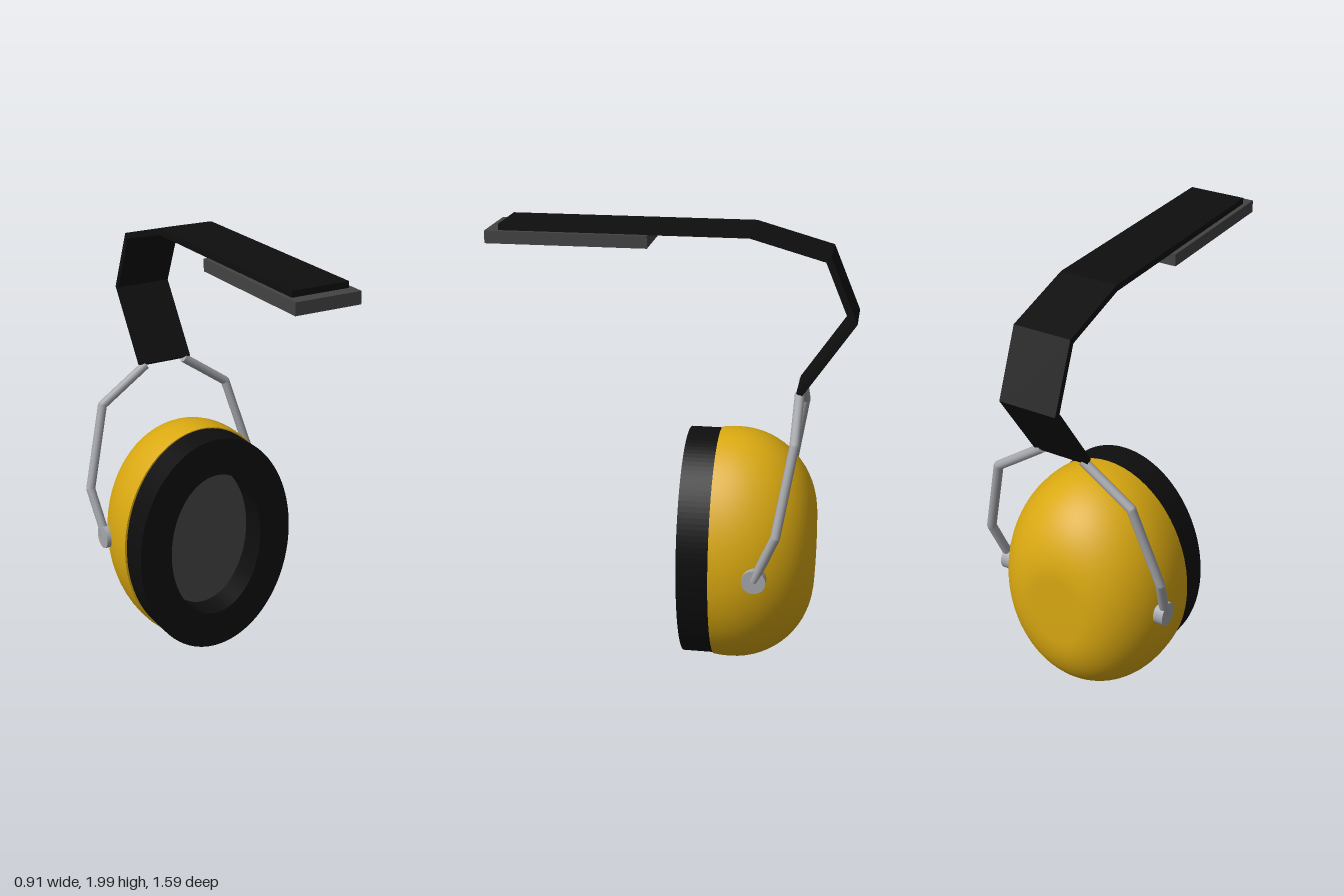
import * as THREE from 'three';

const mat = (name, color, side = THREE.FrontSide) => {
  const m = new THREE.MeshStandardMaterial({ color, side });
  m.name = name;
  return m;
};

export function createModel() {
  const black = mat('black', 0x0e0e0e);
  const yellow = mat('yellow', 0xd9a811);
  const grey = mat('dark grey', 0x434343);
  const metal = mat('metal', 0xa5a6ab);

  const model = new THREE.Group();
  model.name = 'earDefender';
  const add = (name, geometry, material, parent = model) => {
    const mesh = new THREE.Mesh(geometry, material);
    mesh.name = name;
    parent.add(mesh);
    return mesh;
  };

  const CY = 0.548;   // height of the cup centre
  const RX = 0.408, RY = 0.54;

  // Ear cup: rounded dome with a flattened back, stretched to an ellipse
  const profile = [new THREE.Vector2(0.99, 0.205), new THREE.Vector2(0.998, 0.24)];
  for (let i = 0; i <= 16; i++) {
    const a = (i / 16) * Math.PI / 2;
    profile.push(new THREE.Vector2(0.3 + 0.7 * Math.cos(a), 0.28 + 0.36 * Math.sin(a)));
  }
  profile.push(new THREE.Vector2(0, 0.64));
  const dome = new THREE.LatheGeometry(profile, 64);
  dome.rotateX(-Math.PI / 2).scale(RX, RY, 1).translate(0, CY, 0);
  add('earCup', dome, yellow);
  const rim = new THREE.CircleGeometry(0.99, 64);
  rim.scale(RX, RY, 1).translate(0, CY, -0.205);
  add('earCupRim', rim, yellow);

  // Cushion ring with an oval opening and the lining behind it
  const ring = new THREE.Shape().absellipse(0, 0, 0.394, 0.53, 0, Math.PI * 2);
  ring.holes.push(new THREE.Path().absellipse(0, 0, 0.236, 0.355, 0, Math.PI * 2, true));
  const cushion = new THREE.ExtrudeGeometry(ring, { depth: 0.14, bevelEnabled: false, curveSegments: 64 });
  cushion.translate(0, CY, -0.205);
  add('earCushion', cushion, black);
  const lining = new THREE.CircleGeometry(1, 64);
  lining.scale(0.24, 0.36, 1).translate(0, CY, -0.195);
  add('cupLining', lining, grey);

  // Wire arms and their pivot discs, mirrored left and right
  const rod = (a, b, parent) => {
    const d = b.clone().sub(a);
    const m = add('wireSegment', new THREE.CylinderGeometry(0.021, 0.021, d.length(), 12), metal, parent);
    m.position.copy(a).addScaledVector(d, 0.5);
    m.quaternion.setFromUnitVectors(new THREE.Vector3(0, 1, 0), d.normalize());
  };
  for (const s of [1, -1]) {
    const arm = new THREE.Group();
    arm.name = s > 0 ? 'leftWireArm' : 'rightWireArm';
    model.add(arm);
    const path = [
      [0.1, 1.3, -0.557], [0.328, 1.143, -0.557], [0.432, 0.765, -0.495], [0.405, 0.55, -0.405],
    ].map(([x, y, z]) => new THREE.Vector3(s * x, y, z));
    path.slice(1).forEach((p, i) => {
      rod(path[i], p, arm);
      if (i < 2) add('wireBend', new THREE.SphereGeometry(0.021, 12, 8), metal, arm).position.copy(p);
    });
    const disc = new THREE.CylinderGeometry(0.053, 0.053, 0.045, 24);
    disc.rotateZ(Math.PI / 2).translate(s * 0.399, CY, -0.405);
    add('pivotDisc', disc, metal, arm);
  }

  // Headband: a bent strip with mitred corners, given as (z, y) centreline
  const line = [[0.738, 1.986], [-0.335, 1.986], [-0.662, 1.894], [-0.775, 1.625], [-0.555, 1.303]]
    .map(([z, y]) => new THREE.Vector2(z, y));
  const normal = (a, b) => new THREE.Vector2(a.y - b.y, b.x - a.x).normalize();
  const offset = (h) => line.map((p, i) => {
    const n0 = normal(line[Math.max(i - 1, 0)], line[Math.max(i, 1)]);
    const n1 = i < line.length - 1 ? normal(p, line[i + 1]) : n0;
    const m = n0.clone().add(n1).normalize();
    return p.clone().addScaledVector(m, h / m.dot(n0));
  });
  const strip = new THREE.Shape([...offset(0.014), ...offset(-0.014).reverse()]);
  const band = new THREE.ExtrudeGeometry(strip, { depth: 0.26, bevelEnabled: false });
  band.translate(0, 0, -0.13).rotateY(-Math.PI / 2);
  add('headband', band, black);

  // Pad under the front end of the headband
  const pad = new THREE.BoxGeometry(0.3, 0.054, 0.7);
  pad.translate(0, 1.946, 0.445);
  add('headPad', pad, grey);

  return model;
}
